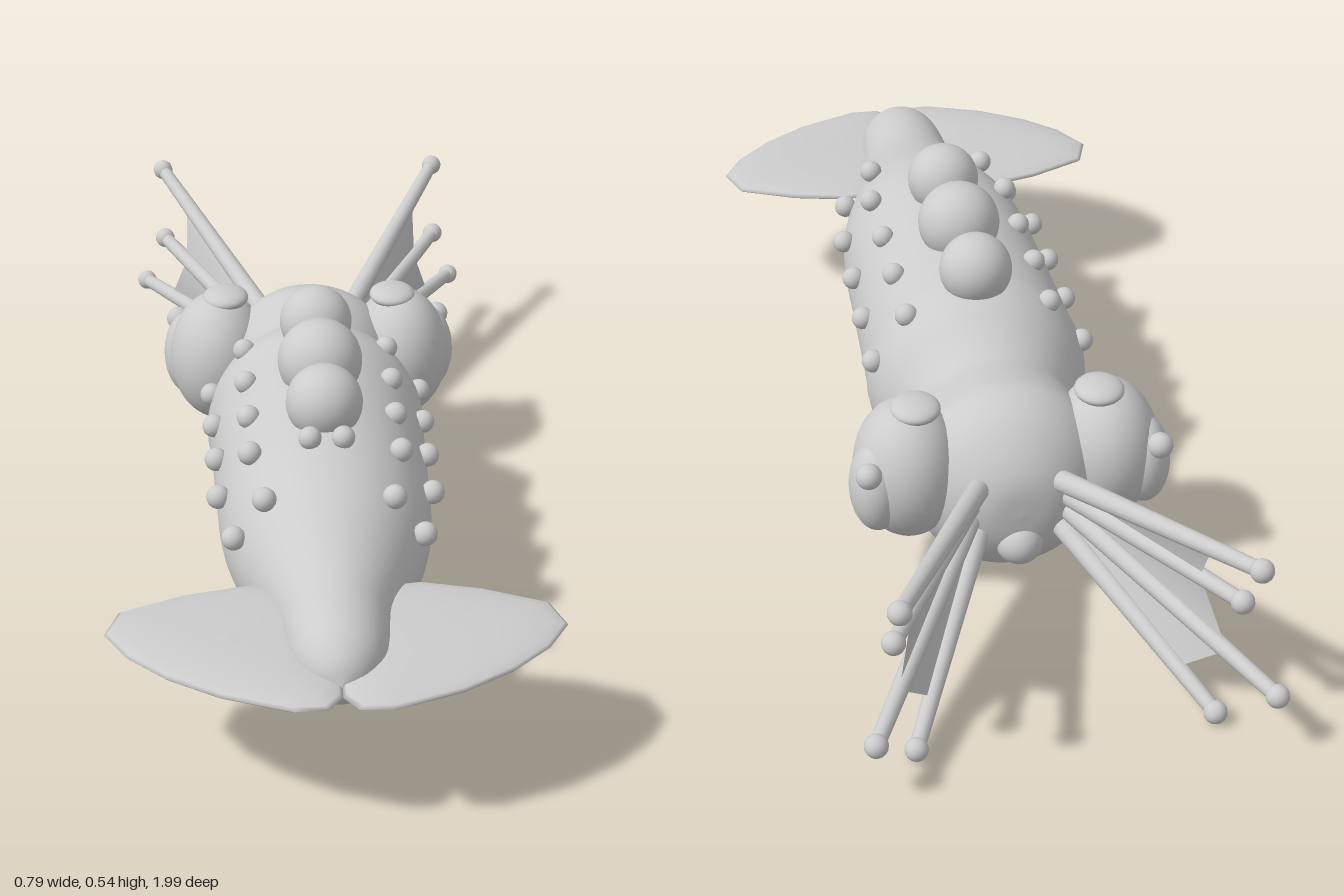
import * as THREE from 'three';

export function createModel() {
  const group = new THREE.Group();
  group.name = 'squid';
  const skin = new THREE.MeshStandardMaterial({ color: 0xcccccc });
  skin.name = 'paleGrey';
  const thinSkin = new THREE.MeshStandardMaterial({ color: 0xcccccc, side: THREE.DoubleSide });
  thinSkin.name = 'paleGreyWeb';

  const add = (name, geometry, material = skin) => {
    const mesh = new THREE.Mesh(geometry, material);
    mesh.name = name;
    group.add(mesh);
    return mesh;
  };
  const ball = (name, x, y, z, rx, ry = rx, rz = rx) => {
    const detail = rx > 0.04 ? 32 : 16;
    const mesh = add(name, new THREE.SphereGeometry(1, detail, detail * 0.75));
    mesh.position.set(x, y, z);
    mesh.scale.set(rx, ry, rz);
    return mesh;
  };

  // Mantle, neck and head: round sections given as [z, centre height, radius]
  const sections = [
    [-0.5, 0.2, 0], [-0.495, 0.2, 0.06], [-0.47, 0.2, 0.11], [-0.42, 0.2, 0.16], [-0.36, 0.2, 0.183],
    [-0.3, 0.208, 0.173], [-0.23, 0.213, 0.16], [-0.18, 0.216, 0.174], [-0.12, 0.221, 0.2],
    [-0.06, 0.224, 0.212], [0, 0.228, 0.208], [0.2, 0.238, 0.2], [0.4, 0.243, 0.19],
    [0.5, 0.243, 0.168], [0.6, 0.246, 0.133], [0.7, 0.255, 0.1], [0.8, 0.266, 0.088],
    [0.85, 0.266, 0.079], [0.885, 0.266, 0.06], [0.91, 0.266, 0.035], [0.925, 0.266, 0],
  ];
  const spine = new THREE.CatmullRomCurve3(
    sections.map(([z, c, r]) => new THREE.Vector3(r, c, z)), false, 'centripetal').getPoints(80);
  const body = new THREE.LatheGeometry(spine.map(p => new THREE.Vector2(Math.max(p.x, 0), p.z)), 48);
  body.rotateX(Math.PI / 2);
  const pos = body.attributes.position;
  for (let i = 0; i < pos.count; i++) pos.setY(i, pos.getY(i) + spine[i % spine.length].y);
  add('body', body);

  ball('siphon', 0, 0.13, -0.47, 0.045, 0.045, 0.05);

  // Large humps and a pair of small ones along the back
  ball('backHump', 0, 0.465, 0.297, 0.07);
  ball('backHump', 0, 0.462, 0.125, 0.079);
  ball('backHump', 0, 0.458, -0.05, 0.069);

  // Thin lens-shaped fin: nested outlines, thickest at the middle
  const finOutline = [[0, 0.955], [0.025, 0.99], [0.08, 0.992], [0.2, 0.945], [0.29, 0.885], [0.355, 0.82],
    [0.394, 0.75], [0.37, 0.68], [0.26, 0.63], [0.15, 0.603], [0.06, 0.62], [0, 0.72]];
  const finGeometry = side => {
    const n = finOutline.length, rings = 12, verts = [], index = [];
    for (let j = 0; j <= rings; j++) {
      const a = Math.PI * j / rings, s = Math.sin(a);
      for (const [x, z] of finOutline) {
        verts.push(side * (0.19 + (x - 0.19) * s), 0.266 + 0.019 * Math.cos(a), 0.79 + (z - 0.79) * s);
      }
    }
    for (let j = 0; j < rings; j++) for (let i = 0; i < n; i++) {
      const a = j * n + i, b = j * n + (i + 1) % n;
      if (side > 0) index.push(a, a + n, b, b, a + n, b + n);
      else index.push(a, b, a + n, b, b + n, a + n);
    }
    const g = new THREE.BufferGeometry();
    g.setAttribute('position', new THREE.Float32BufferAttribute(verts, 3));
    g.setIndex(index);
    g.computeVertexNormals();
    return g;
  };

  // Side warts as [z, upper x, upper y, lower x, lower y]
  const warts = [[0.503, 0.115, 0.382, 0.17, 0.305], [0.357, 0.137, 0.395, 0.195, 0.306],
    [0.213, 0.136, 0.392, 0.197, 0.304], [0.07, 0.138, 0.39, 0.2, 0.298], [-0.075, 0.138, 0.385, 0.203, 0.29]];

  // Arms as [base, tip]
  const arms = [
    [[0.065, 0.245, -0.45], [0.3, 0.388, -0.975]],
    [[0.08, 0.215, -0.45], [0.298, 0.26, -0.89]],
    [[0.08, 0.19, -0.45], [0.343, 0.118, -0.975]],
    [[0.065, 0.165, -0.45], [0.262, 0.026, -0.89]],
  ];

  for (const side of [1, -1]) {
    const label = side > 0 ? 'left' : 'right';
    add(label + 'Fin', finGeometry(side), thinSkin);

    ball(label + 'Eye', side * 0.185, 0.237, -0.355, 0.1, 0.135, 0.115);
    ball(label + 'Iris', side * 0.248, 0.225, -0.39, 0.05, 0.088, 0.066);
    ball(label + 'Pupil', side * 0.268, 0.28, -0.438, 0.024);
    ball(label + 'BrowPatch', side * 0.17, 0.364, -0.36, 0.046, 0.02, 0.05);

    ball(label + 'BackWart', side * 0.03, 0.443, 0.393, 0.021);
    for (const [z, ux, uy, lx, ly] of warts) {
      ball(label + 'UpperWart', side * ux, uy, z, 0.022);
      ball(label + 'LowerWart', side * lx, ly, z, 0.022);
    }

    const web = [];
    for (const [base, tip] of arms) {
      const a = new THREE.Vector3(side * base[0], base[1], base[2]);
      const b = new THREE.Vector3(side * tip[0], tip[1], tip[2]);
      const arm = add(label + 'Arm', new THREE.CylinderGeometry(0.014, 0.021, a.distanceTo(b), 14));
      arm.position.lerpVectors(a, b, 0.5);
      arm.quaternion.setFromUnitVectors(new THREE.Vector3(0, 1, 0), b.clone().sub(a).normalize());
      ball(label + 'ArmTip', b.x, b.y, b.z, 0.021);
      web.push(a, a.clone().lerp(b, 0.78));
    }

    // Web stretched between neighbouring arms
    const webGeometry = new THREE.BufferGeometry().setFromPoints(web);
    const index = [];
    for (let i = 0; i < 6; i += 2) index.push(i, i + 1, i + 2, i + 2, i + 1, i + 3);
    webGeometry.setIndex(index);
    webGeometry.computeVertexNormals();
    add(label + 'Web', webGeometry, thinSkin);
  }
  return group;
}
